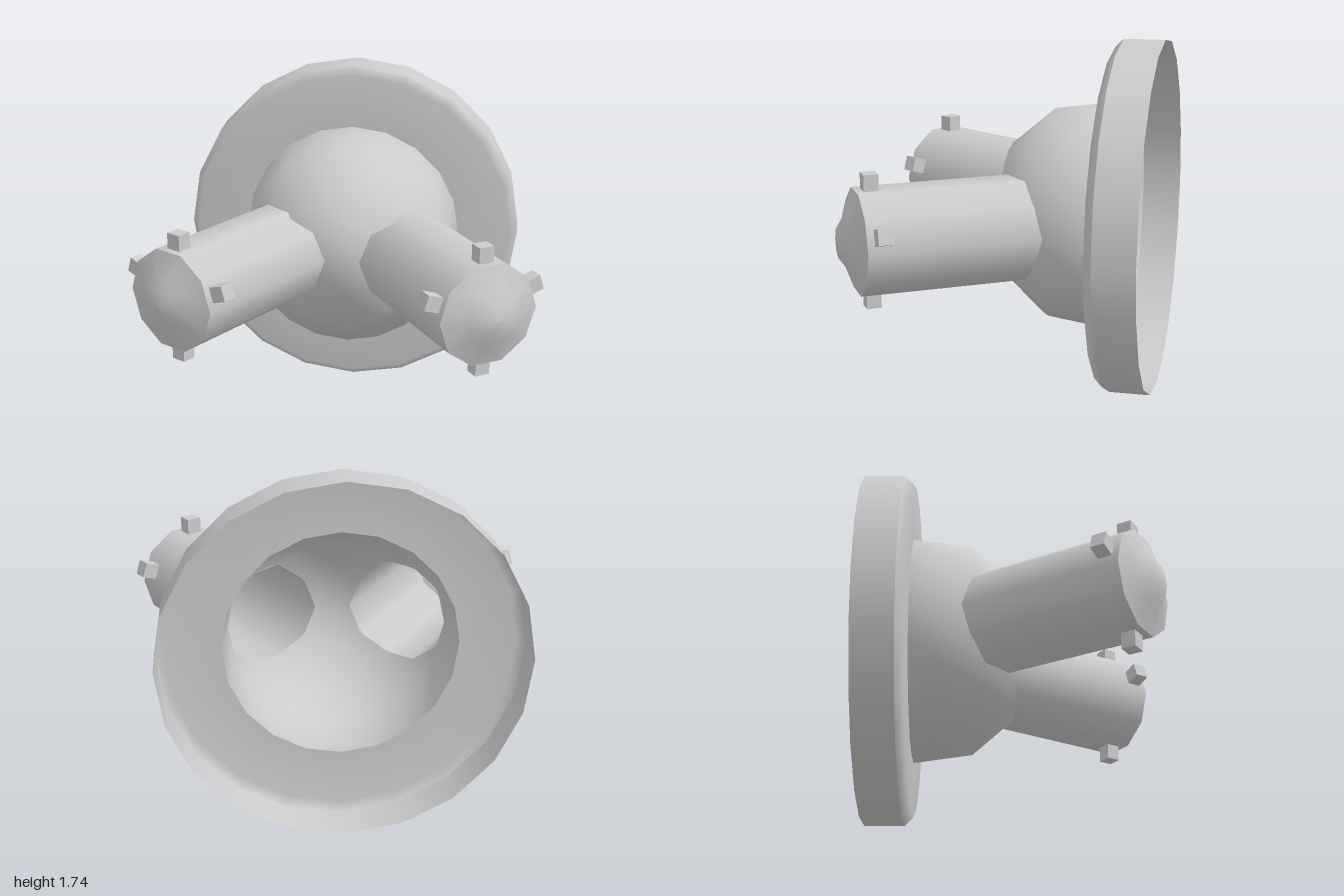
import * as THREE from 'three';

const mat = new THREE.MeshStandardMaterial({ color: 0xcccccc, side: THREE.DoubleSide });
const SIDES = 20;            // facets of flange and dome
const R = 0.254;             // barrel radius
const TILT = 0.553;          // outward turn of each barrel
const END = new THREE.Vector3(0.74, 0, 0.585);   // centre of a barrel's outer end
const DOME = [[0.56, -0.49], [0.52, -0.2], [0.34, 0.01], [0, 0.01]];
const UP = new THREE.Vector3(0, 1, 0);

const toWorld = (v) => v.applyAxisAngle(UP, TILT).add(END);
const toLocal = (v) => v.sub(END).applyAxisAngle(UP, -TILT);

// radius of a regular polygon with a corner at angle 0
function polygonRadius(angle, n) {
  const step = (2 * Math.PI) / n;
  const a = ((angle % step) + step) % step;
  return Math.cos(step / 2) / Math.cos(a - step / 2);
}

// true when a point lies within the convex dome
function insideDome(p) {
  const r = Math.hypot(p.x, p.y) / polygonRadius(Math.atan2(p.x, p.y), SIDES);
  for (let i = 0; i < 3; i++) {
    const [r0, z0] = DOME[i], [r1, z1] = DOME[i + 1];
    if ((r1 - r0) * (p.z - z0) - (z1 - z0) * (r - r0) < 0) return false;
  }
  return true;
}

// depth at which a line along the barrel meets the dome
function seatDepth(x, y) {
  let out = 0, inn = -0.9;
  for (let i = 0; i < 30; i++) {
    const m = (out + inn) / 2;
    if (insideDome(toWorld(new THREE.Vector3(x, y, m)))) inn = m; else out = m;
  }
  return out;
}

// lathe turned so its axis points to +z
function latheZ(points, segments, start = 0) {
  const g = new THREE.LatheGeometry(points.map(([r, h]) => new THREE.Vector2(r, h)), segments, start);
  return g.rotateX(Math.PI / 2);
}

function addMesh(parent, geometry, name) {
  const mesh = new THREE.Mesh(geometry, mat);
  mesh.name = name;
  parent.add(mesh);
  return mesh;
}

// faceted dome shell with an opening for each barrel
function domeGeometry() {
  const points = [];
  for (let i = 0; i < 3; i++) {
    for (let k = 0; k < 12; k++) {
      const t = k / 12;
      points.push([0, 1].map((c) => DOME[i][c] * (1 - t) + DOME[i + 1][c] * t));
    }
  }
  points.push(DOME[3]);
  const g = latheZ(points, SIDES * 6);
  const pos = g.attributes.position, nor = g.attributes.normal;
  const p = new THREE.Vector3(), n = new THREE.Vector3();
  const cut = [];
  for (let i = 0; i < pos.count; i++) {
    p.fromBufferAttribute(pos, i);
    const f = polygonRadius(Math.atan2(p.x, p.y), SIDES);
    p.x *= f;
    p.y *= f;
    // slide points under a barrel to the rim of its opening
    const sign = p.x < 0 ? -1 : 1;
    const q = toLocal(new THREE.Vector3(Math.abs(p.x), p.y, p.z));
    const a = Math.atan2(q.y, q.x), rim = R * polygonRadius(a, 10);
    cut[i] = Math.hypot(q.x, q.y) < rim;
    if (cut[i]) {
      q.set(rim * Math.cos(a), rim * Math.sin(a), 0);
      q.z = seatDepth(q.x, q.y);
      toWorld(q);
      p.set(q.x * sign, q.y, q.z);
    }
    pos.setXYZ(i, p.x, p.y, p.z);
    n.set(p.x, p.y, p.z + 0.4).normalize();
    nor.setXYZ(i, n.x, n.y, n.z);
  }
  const index = [];
  for (let i = 0; i < g.index.count; i += 3) {
    const tri = [0, 1, 2].map((k) => g.index.getX(i + k));
    if (!tri.every((v) => cut[v])) index.push(...tri);
  }
  g.setIndex(index);
  return g;
}

// barrel whose inner end is trimmed to the dome
function barrelGeometry() {
  const g = latheZ([[R, -0.9], [R, 0]], 10, Math.PI / 2);
  const pos = g.attributes.position;
  for (let i = 0; i < pos.count; i++) {
    if (pos.getZ(i) < -0.5) pos.setZ(i, seatDepth(pos.getX(i), pos.getY(i)));
  }
  return g;
}

function makeBarrel(name, sign) {
  const side = new THREE.Group();
  side.name = name;
  side.scale.x = sign;
  const barrel = new THREE.Group();
  barrel.position.copy(END);
  barrel.rotation.y = TILT;
  side.add(barrel);
  addMesh(barrel, barrelGeometry(), 'barrelTube');
  addMesh(barrel, latheZ([[R, 0], [0.13, 0.045], [0.08, 0.08], [0, 0.09]], 10, Math.PI / 2), 'endCap');
  // lugs on four of the flat sides
  for (const deg of [18, 90, 162, 270]) {
    const a = (deg * Math.PI) / 180;
    const lug = addMesh(barrel, new THREE.BoxGeometry(0.085, 0.075, 0.07), 'lug');
    lug.position.set(0.277 * Math.cos(a), 0.277 * Math.sin(a), -0.07);
    lug.rotation.z = a;
  }
  return side;
}

export function createModel() {
  const root = new THREE.Group();
  root.name = 'twinBarrelFitting';
  const body = new THREE.Group();
  body.name = 'body';
  body.position.set(-0.005, 0.87, 0);
  root.add(body);

  // hollow flange, open at the back
  addMesh(body, latheZ([[0.87, -0.73], [0.87, -0.53]], SIDES), 'flangeRim');
  addMesh(body, latheZ([[0.87, -0.53], [0.83, -0.49], [0.56, -0.49]], SIDES), 'flangeFace');
  addMesh(body, domeGeometry(), 'dome');
  body.add(makeBarrel('leftBarrel', 1), makeBarrel('rightBarrel', -1));
  return root;
}
